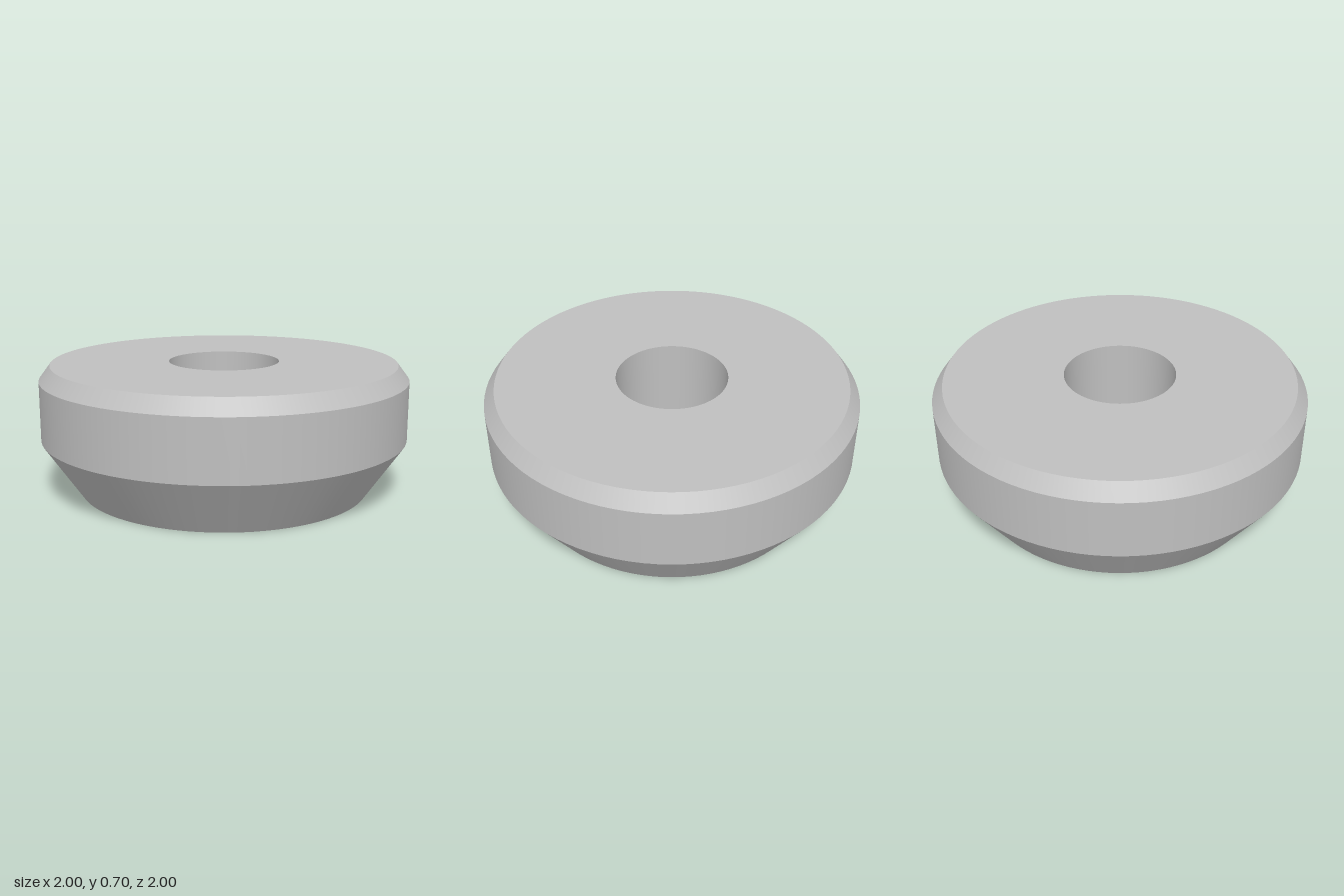
import * as THREE from 'three';
import { mergeGeometries } from 'three/addons/utils/BufferGeometryUtils.js';

const SEGMENTS = 96;

// One lathe band per profile edge keeps the rims crisp and the round faces smooth.
function sharpLathe(profile) {
  const bands = [];
  for (let i = 0; i < profile.length - 1; i++) {
    const edge = [profile[i], profile[i + 1]].map(([r, y]) => new THREE.Vector2(r, y));
    bands.push(new THREE.LatheGeometry(edge, SEGMENTS));
  }
  return mergeGeometries(bands);
}

export function createModel() {
  const model = new THREE.Group();
  model.name = 'taperedRing';

  const greyMetal = new THREE.MeshStandardMaterial({ color: 0xbfbfbf });
  greyMetal.name = 'grey metal';

  // Closed radius/height section: underside, taper, wall, chamfer, top, bore
  const ring = new THREE.Mesh(sharpLathe([
    [0.3, 0],
    [0.795, 0],
    [1, 0.3],
    [1, 0.62],
    [0.94, 0.7],
    [0.3, 0.7],
    [0.3, 0],
  ]), greyMetal);
  ring.name = 'ringBody';
  model.add(ring);

  return model;
}
